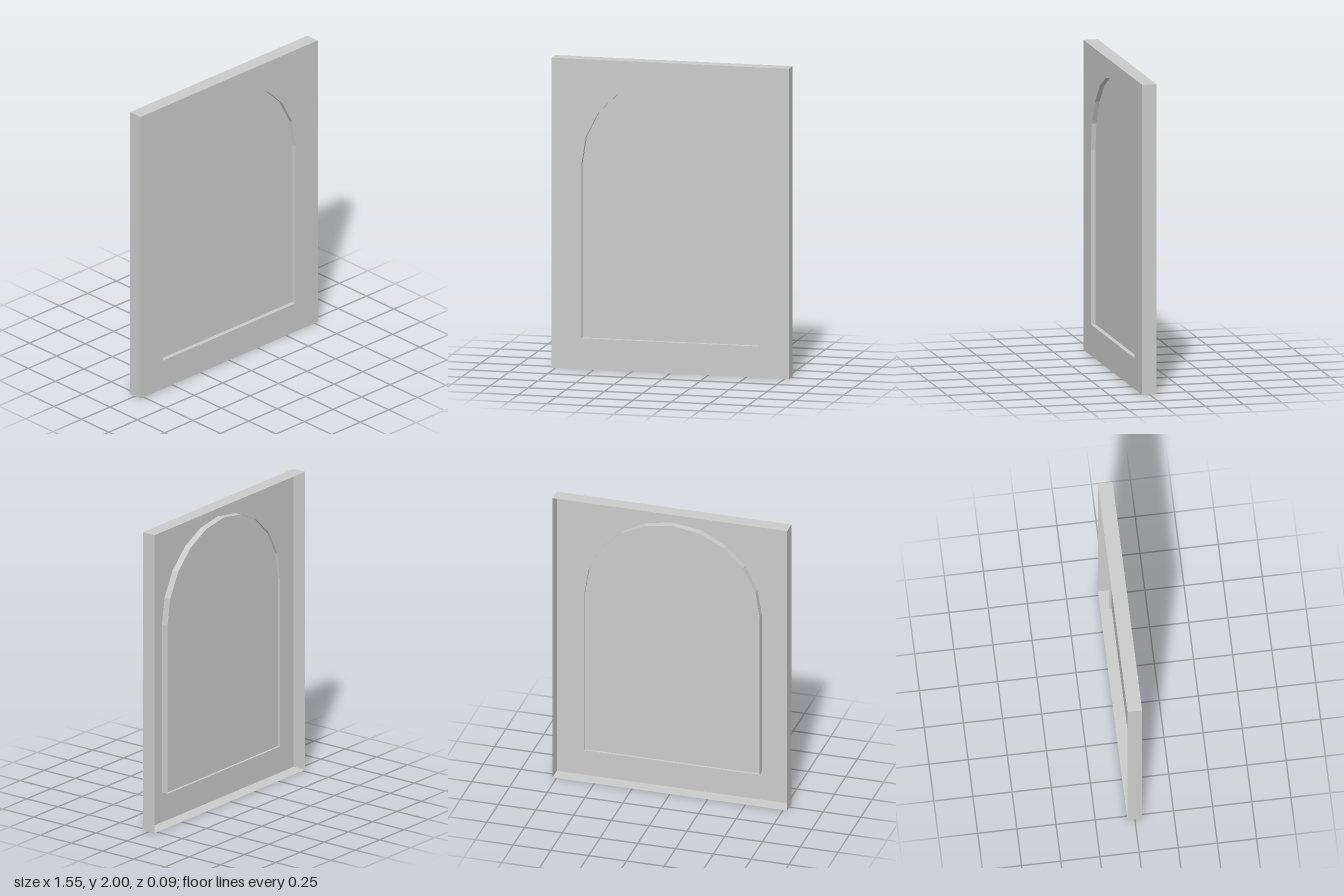
import * as THREE from 'three';

const HALF_W = 0.777, HEIGHT = 2, FRONT = 0.047, BACK = -0.047;
const ARCH_W = 0.58, SILL = 0.2, SPRING = 1.325, RISE = 0.57, ARCH_STEPS = 10;
const RIM_BACK = 0.002, PANEL_Z = 0.018;

// Arched opening, counter-clockwise from the lower left corner
function archOutline() {
  const pts = [new THREE.Vector2(-ARCH_W, SILL), new THREE.Vector2(ARCH_W, SILL)];
  for (let i = 0; i <= ARCH_STEPS; i++) {
    const a = (i / ARCH_STEPS) * Math.PI;
    pts.push(new THREE.Vector2(ARCH_W * Math.cos(a), SPRING + RISE * Math.sin(a)));
  }
  return pts;
}

// Thin flat-sided wall following a closed outline between two depths
function wallGeometry(outline, zFront, zBack) {
  const pos = [];
  outline.forEach((p, i) => {
    const q = outline[(i + 1) % outline.length];
    pos.push(p.x, p.y, zFront, p.x, p.y, zBack, q.x, q.y, zBack);
    pos.push(p.x, p.y, zFront, q.x, q.y, zBack, q.x, q.y, zFront);
  });
  const geo = new THREE.BufferGeometry();
  geo.setAttribute('position', new THREE.Float32BufferAttribute(pos, 3));
  geo.computeVertexNormals();
  return geo;
}

export function createModel() {
  const group = new THREE.Group();
  const material = new THREE.MeshStandardMaterial({ color: 0xcccccc, side: THREE.DoubleSide });
  const add = (name, geometry, z = 0) => {
    const mesh = new THREE.Mesh(geometry, material);
    mesh.name = name;
    mesh.position.z = z;
    group.add(mesh);
  };

  const arch = archOutline();
  const rect = [[-HALF_W, 0], [HALF_W, 0], [HALF_W, HEIGHT], [-HALF_W, HEIGHT]]
    .map(([x, y]) => new THREE.Vector2(x, y));

  // Front sheet with the arched opening
  const face = new THREE.Shape(rect);
  face.holes.push(new THREE.Path(arch));
  add('frontFrame', new THREE.ShapeGeometry(face), FRONT);

  // Outer edge of the tray, open at the back
  add('outerWalls', wallGeometry(rect, FRONT, BACK));

  // Rim of the opening, reaching slightly behind the recessed panel
  add('archRim', wallGeometry(arch, FRONT, RIM_BACK));
  add('recessedPanel', new THREE.ShapeGeometry(new THREE.Shape(arch)), PANEL_Z);

  return group;
}
